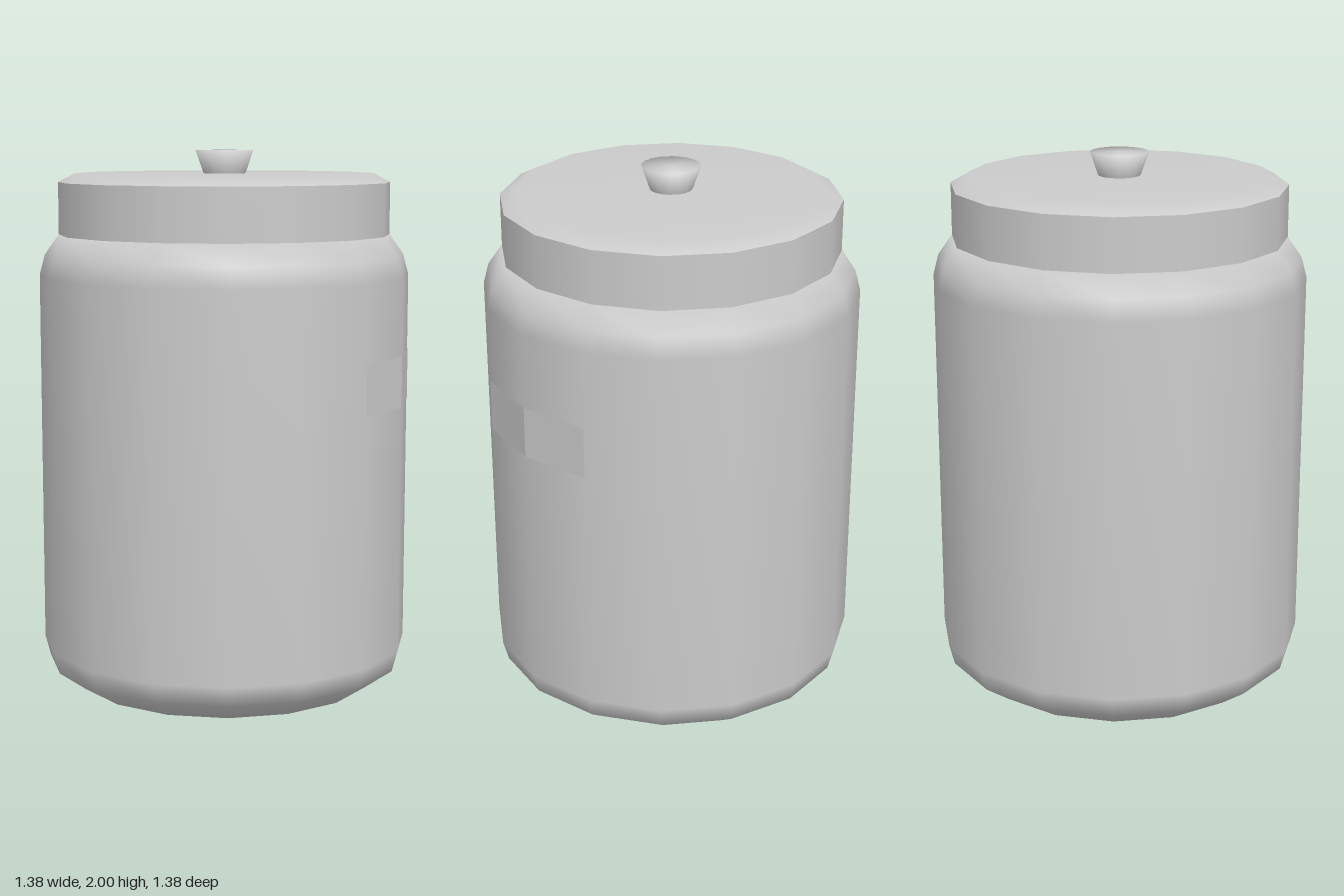
import * as THREE from 'three';

const SIDES = 16;
const material = new THREE.MeshStandardMaterial({ color: 0xcccccc });

// Smooth turned part from [radius, height] pairs listed bottom to top
function turned(name, profile) {
  const points = profile.map(([r, y]) => new THREE.Vector2(r, y));
  const mesh = new THREE.Mesh(new THREE.LatheGeometry(points, SIDES), material);
  mesh.name = name;
  return mesh;
}

export function createModel() {
  const jar = new THREE.Group();
  jar.name = 'jar';

  // Rounded body with base and shoulder
  jar.add(turned('body', [
    [0, 0], [0.565, 0], [0.67, 0.075], [0.69, 0.15],
    [0.69, 1.54], [0.67, 1.615], [0.617, 1.69], [0, 1.69],
  ]));

  // Lid: straight band, then a bevelled top with a sharp edge between them
  const lid = new THREE.Group();
  lid.name = 'lid';
  lid.add(turned('lidBand', [[0.617, 1.69], [0.617, 1.883]]));
  lid.add(turned('lidTop', [[0.617, 1.883], [0.555, 1.915], [0, 1.915]]));
  lid.add(turned('knob', [[0.078, 1.915], [0.107, 2], [0, 2]]));
  jar.add(lid);

  // Thin label wrapped over the two facets on the left side
  const label = new THREE.Mesh(
    new THREE.CylinderGeometry(0.692, 0.692, 0.19, 2, 1, true, Math.PI * 3 / 8, Math.PI / 4),
    new THREE.MeshStandardMaterial({ color: 0xcccccc, flatShading: true, side: THREE.DoubleSide })
  );
  label.name = 'label';
  label.position.y = 1.167;
  jar.add(label);

  return jar;
}
